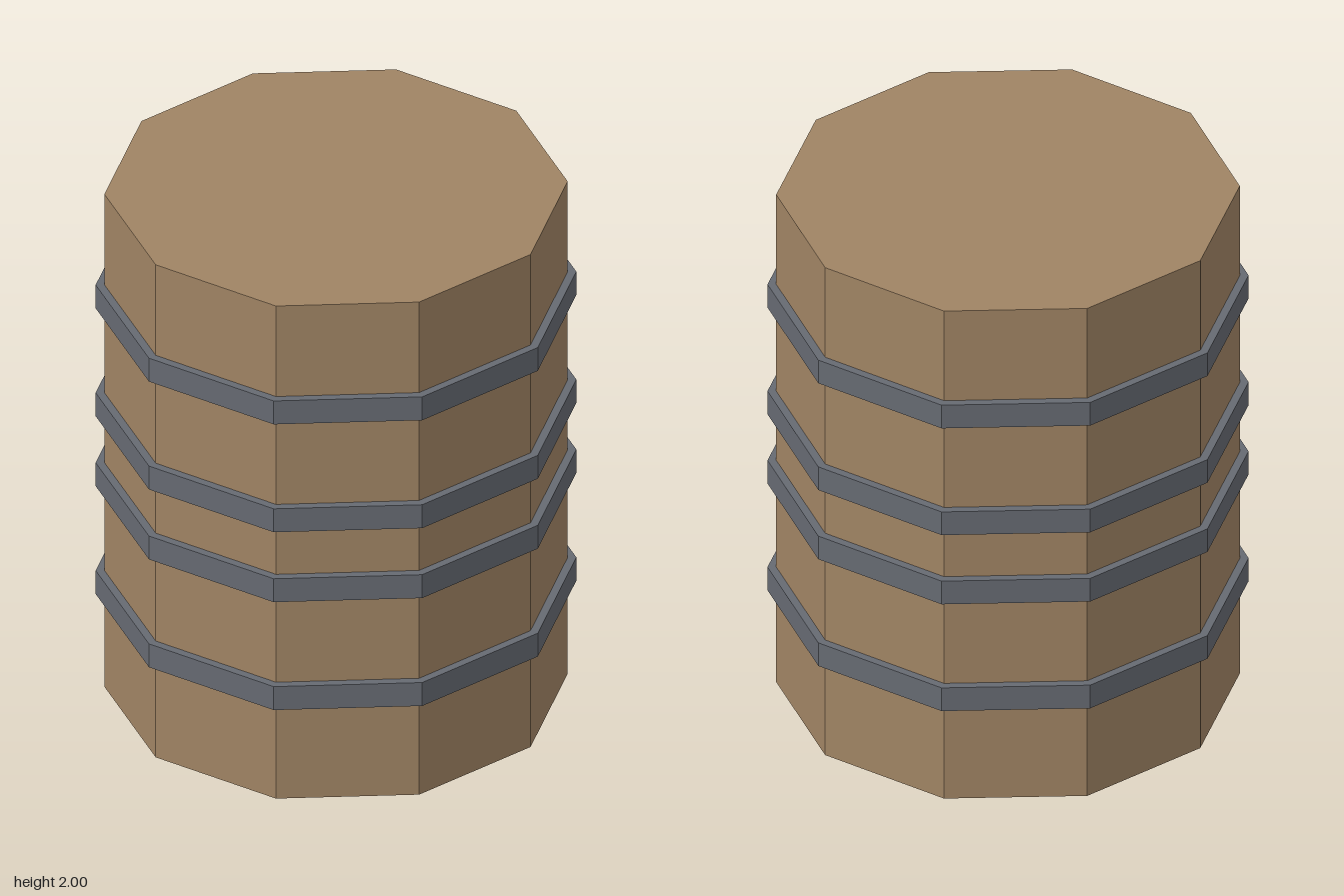
import * as THREE from 'three';

const SIDES = 10;

export function createModel() {
  const model = new THREE.Group();
  const wood = new THREE.MeshStandardMaterial({ color: 0xa08464, flatShading: true });
  const iron = new THREE.MeshStandardMaterial({ color: 0x666a72, flatShading: true });

  // Ten-sided wooden body with closed ends
  const body = new THREE.Mesh(new THREE.CylinderGeometry(0.8, 0.8, 2, SIDES), wood);
  body.name = 'barrelBody';
  body.position.y = 1;
  model.add(body);

  // Metal hoops: a C-shaped profile turned around the body
  const inner = 0.8, outer = 0.83, half = 0.0475;
  const profile = [[inner, -half], [outer, -half], [outer, half], [inner, half]]
    .map(([r, y]) => new THREE.Vector2(r, y));
  const hoopGeometry = new THREE.LatheGeometry(profile, SIDES);
  [0.425, 0.863, 1.147, 1.585].forEach((y, i) => {
    const hoop = new THREE.Mesh(hoopGeometry, iron);
    hoop.name = `hoop${i + 1}`;
    hoop.position.y = y;
    model.add(hoop);
  });

  return model;
}
